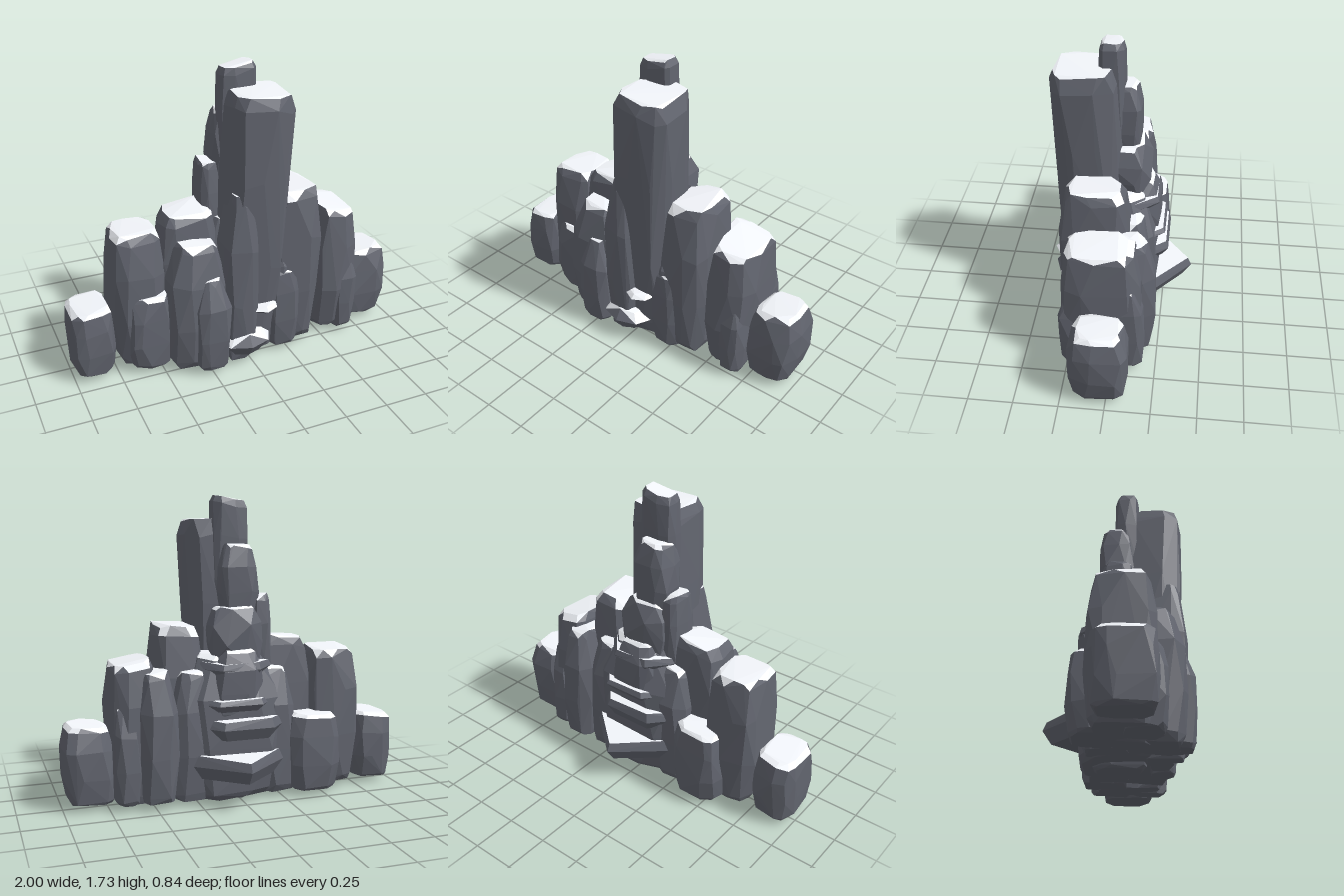
import * as THREE from 'three';
import { ConvexGeometry } from 'three/addons/geometries/ConvexGeometry.js';

const darkStone = new THREE.MeshStandardMaterial({ color: 0x62656f, flatShading: true });
const paleStone = new THREE.MeshStandardMaterial({ color: 0xf2f5fa, flatShading: true });

function seeded(seed) {
  let s = seed * 7919 + 17;
  const next = () => (s = (s * 16807) % 2147483647) / 2147483647;
  for (let i = 0; i < 5; i++) next();
  return next;
}

// Hull of the points, sized to fill a box given by two corners
function hullInBox(points, low, high) {
  const box = new THREE.Box3().setFromPoints(points);
  const from = box.getSize(new THREE.Vector3());
  const to = new THREE.Vector3().subVectors(high, low);
  points.forEach((p) => p.sub(box.min).divide(from).multiply(to).add(low));
  return new ConvexGeometry(points);
}

// Faceted boulder: jittered, rounded-square rings that narrow at both ends
function boulder(low, high, seed, top, lean, sides) {
  const rnd = seeded(seed);
  const points = [];
  const turn = rnd() * 0.6;
  const tilt = (rnd() - 0.5) * 0.06;
  const rings = [[0, 0.78], [0.05, 0.89], [0.35, 1], [0.7, 0.99], [0.95, top], [1, top * 0.84]];
  for (const [t, r] of rings) {
    for (let i = 0; i < sides; i++) {
      const a = turn + (i + (rnd() - 0.5) * 0.6) / sides * Math.PI * 2;
      const k = r * (0.93 + rnd() * 0.1);
      const x = Math.sign(Math.cos(a)) * Math.abs(Math.cos(a)) ** 0.58 * k;
      const z = Math.sign(Math.sin(a)) * Math.abs(Math.sin(a)) ** 0.58 * k;
      const y = t + (rnd() - 0.5) * 0.03 + t * x * tilt;
      points.push(new THREE.Vector3(x + lean[0] * t, y, z + lean[1] * t));
    }
  }
  return hullInBox(points, low, high);
}

// Thin ledge: an arc of corners pointing along dir in z, drawn in above and below the rim
function slab(low, high, dir, segments, edge) {
  const points = [];
  for (const [y, k] of [[0, edge * 0.88], [0.55, 1], [1, edge]]) {
    for (let i = 0; i <= segments; i++) {
      const a = i / segments * Math.PI;
      points.push(new THREE.Vector3(Math.cos(a) * k, y - (y === 1 ? (i % 2) * 0.1 : 0), Math.sin(a) * k * dir));
    }
    points.push(new THREE.Vector3(0.8 * k, y, -0.6 * dir), new THREE.Vector3(-0.8 * k, y, -0.6 * dir));
  }
  return hullInBox(points, low, high);
}

// Parts a stone into its dark flanks and the pale faces that look upward
function paint(name, geometry) {
  const group = new THREE.Group();
  group.name = name;
  const corners = geometry.getAttribute('position');
  const flanks = [], crown = [];
  const face = new THREE.Triangle();
  const normal = new THREE.Vector3();
  for (let i = 0; i < corners.count; i += 3) {
    face.setFromAttributeAndIndices(corners, i, i + 1, i + 2);
    face.getNormal(normal);
    (normal.y > 0.55 ? crown : flanks).push(face.a.clone(), face.b.clone(), face.c.clone());
  }
  for (const [part, points, material] of [['flanks', flanks, darkStone], ['crown', crown, paleStone]]) {
    const surface = new THREE.BufferGeometry().setFromPoints(points);
    surface.computeVertexNormals();
    const mesh = new THREE.Mesh(surface, material);
    mesh.name = part;
    group.add(mesh);
  }
  return group;
}

export function createModel() {
  const model = new THREE.Group();
  model.name = 'rockFormation';

  // Rock spanning x0..x1 and z0..z1, from its base up to the given height
  const rock = (name, x0, x1, z0, z1, height, { base = 0.03, top = 0.86, lean = [0, 0], sides = 9 } = {}) => model.add(
    paint(name, boulder(new THREE.Vector3(x0, base, z0), new THREE.Vector3(x1, height, z1), model.children.length + 3, top, lean, sides)));
  const ledge = (name, x0, x1, z0, z1, y0, y1, dir, segments = 3, edge = 0.92) => model.add(
    paint(name, slab(new THREE.Vector3(x0, y0, z0), new THREE.Vector3(x1, y1, z1), dir, segments, edge)));

  // Tall spires
  rock('mainSpire', -0.13, 0.25, -0.03, 0.38, 1.6, { top: 0.98, lean: [0.3, 0.3], sides: 10 });
  rock('rearPeak', -0.1, 0.12, -0.02, 0.13, 1.73, { base: 1, top: 0.94 });
  rock('rearPillar', -0.13, 0.1, -0.11, 0.1, 1.46, { base: 1.04, top: 0.74 });
  rock('frontShard', -0.16, 0.05, 0.1, 0.39, 1.07, { top: 0.68, lean: [0.15, 0.15] });

  // Right side, stepping down to the end
  rock('innerRightColumn', 0.17, 0.47, -0.08, 0.32, 1.01, { lean: [0.1, 0] });
  rock('outerRightColumn', 0.45, 0.74, -0.17, 0.29, 0.84, { lean: [0.1, 0.06] });
  rock('rightEndBoulder', 0.7, 1, -0.12, 0.21, 0.48, { top: 0.8, lean: [0.1, 0] });
  rock('rightFrontBoulder', 0.58, 0.73, 0.05, 0.29, 0.52, { top: 0.66 });
  rock('frontBlock', 0.13, 0.33, 0.12, 0.33, 0.55);
  rock('frontSpike', 0.16, 0.26, 0.18, 0.31, 0.67, { base: 0.3, top: 0.25, sides: 6 });

  // Left side, stepping down to the end
  rock('innerLeftColumn', -0.48, -0.12, -0.1, 0.2, 0.94);
  rock('outerLeftColumn', -0.76, -0.43, -0.17, 0.2, 0.85);
  rock('leftEndBoulder', -1, -0.75, -0.14, 0.2, 0.44, { top: 0.9 });
  rock('leftFrontBoulder', -0.7, -0.42, 0, 0.25, 0.49);
  rock('leftFrontColumn', -0.47, -0.13, 0.05, 0.36, 0.79, { top: 0.7, lean: [0.15, -0.1] });
  rock('leftFrontStone', -0.35, -0.14, 0.18, 0.41, 0.6, { top: 0.55 });
  rock('leftShoulder', -0.21, -0.08, -0.1, 0.1, 1.18, { base: 0.6 });

  // Core and back
  rock('core', -0.28, 0.34, -0.23, 0.26, 0.86, { base: 0.02, top: 0.68, lean: [0, 0.1] });
  rock('coreFoot', -0.1, 0.14, -0.16, 0.16, 0.3, { base: 0 });
  rock('backLeftBoulder', -0.6, -0.28, -0.26, 0.02, 0.49);
  rock('backRightColumn', 0.37, 0.6, -0.24, 0.1, 0.78, { top: 0.74, lean: [0, 0.15] });
  rock('backRightStone', 0.57, 0.73, -0.19, 0.1, 0.6, { top: 0.75, lean: [0, 0.15] });
  for (const side of [-1, 1]) {
    const x = 0.03 + side * 0.25;
    rock(side < 0 ? 'backInnerLeftRock' : 'backInnerRightRock', x - 0.12, x + 0.12, -0.2, 0.1, 0.77, { top: 0.7, lean: [-side * 0.15, 0.1] });
  }
  rock('backUpperRock', -0.13, 0.18, -0.23, 0.05, 0.88, { base: 0.5, top: 0.72, lean: [0, 0.15], sides: 7 });
  rock('backNeck', -0.15, 0.17, -0.17, 0.1, 1.12, { base: 0.78, top: 0.7, sides: 6 });

  // Ledges stepping down the back, the lowest one pointed
  ledge('lowerBackLedge', -0.28, 0.34, -0.42, 0, 0.16, 0.3, -1, 2);
  ledge('middleBackLedge', -0.3, 0.29, -0.28, 0, 0.38, 0.5, -1);
  ledge('upperBackLedge', -0.22, 0.29, -0.26, 0, 0.54, 0.61, -1);
  ledge('topBackLedge', -0.2, 0.24, -0.22, 0, 0.72, 0.81, -1);

  // Ledges on the front
  ledge('lowerFrontLedge', -0.2, 0.13, 0.2, 0.42, 0.07, 0.21, 1, 4, 0.7);
  ledge('smallFrontLedge', -0.03, 0.17, 0.2, 0.4, 0.32, 0.37, 1, 4, 0.8);

  return model;
}
